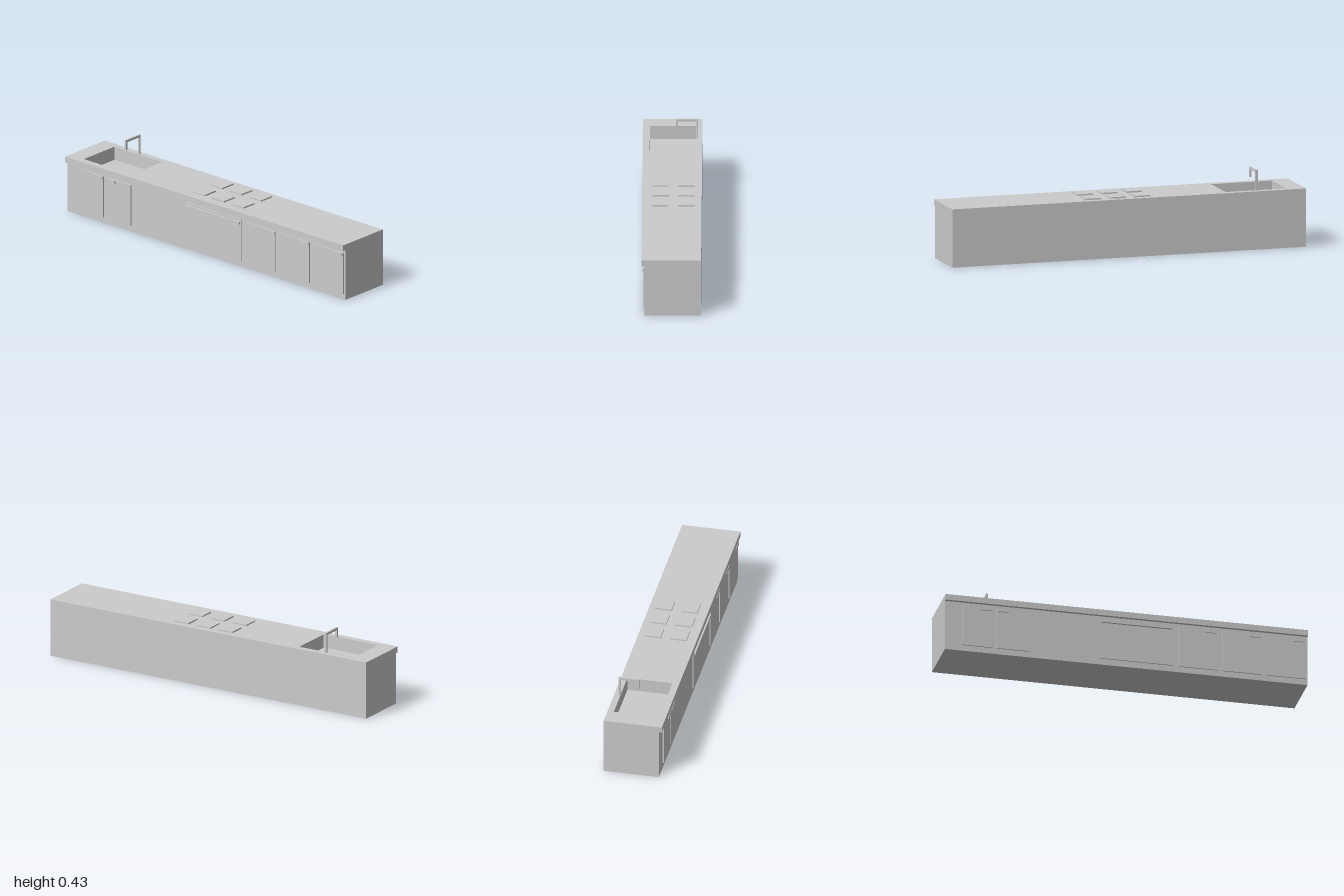
import * as THREE from 'three';

const material = new THREE.MeshStandardMaterial({ color: 0xcccccc, flatShading: true });
const doubleSided = material.clone();
doubleSided.side = THREE.DoubleSide;

// Box given by its limits on each axis
function box(name, [x0, x1], [y0, y1], [z0, z1], open = false) {
  const geometry = new THREE.BoxGeometry(x1 - x0, y1 - y0, z1 - z0);
  if (open) {
    // Leave out the top face (third group of six indices)
    const index = Array.from(geometry.index.array);
    index.splice(12, 6);
    geometry.setIndex(index);
    geometry.clearGroups();
  }
  const mesh = new THREE.Mesh(geometry, open ? doubleSided : material);
  mesh.name = name;
  mesh.position.set((x0 + x1) / 2, (y0 + y1) / 2, (z0 + z1) / 2);
  return mesh;
}

function rectangle(PathType, [x0, x1], [y0, y1]) {
  return new PathType([[x0, y0], [x1, y0], [x1, y1], [x0, y1]].map(p => new THREE.Vector2(...p)));
}

export function createModel() {
  const kitchen = new THREE.Group();
  kitchen.name = 'kitchenCounter';

  const counterBottom = 0.285, counterTop = 0.318, front = 0.143;
  const sinkX = [-0.9, -0.555], sinkZ = [-0.125, 0.122];

  // Cabinet carcass, closed off by the worktop
  kitchen.add(box('cabinet', [-1, 1], [0, counterBottom], [-0.16, front], true));

  // Worktop with the sink cut-out
  const outline = rectangle(THREE.Shape, [-1, 1], [-0.16, 0.16]);
  outline.holes.push(rectangle(THREE.Path, sinkX, sinkZ));
  const topGeometry = new THREE.ExtrudeGeometry(outline, {
    depth: counterTop - counterBottom, bevelEnabled: false,
  });
  topGeometry.rotateX(Math.PI / 2);
  const worktop = new THREE.Mesh(topGeometry, material);
  worktop.name = 'worktop';
  worktop.position.y = counterTop;
  kitchen.add(worktop);

  // Sink basin below the cut-out
  kitchen.add(box('sinkBasin', sinkX, [0.243, counterBottom], sinkZ, true));

  // Tap: post, arm and spout
  const tap = new THREE.Group();
  tap.name = 'tap';
  const tapX = [-0.734, -0.722];
  tap.add(
    box('tapPost', tapX, [counterTop, 0.417], [-0.136, -0.128]),
    box('tapArm', tapX, [0.417, 0.43], [-0.136, -0.02]),
    box('tapSpout', tapX, [0.374, 0.417], [-0.03, -0.02]),
  );
  kitchen.add(tap);

  // Hob plates, three across and two deep
  for (const x of [-0.087, 0.052, 0.192]) {
    for (const z of [0.062, -0.079]) {
      kitchen.add(box('hobPlate', [x - 0.044, x + 0.044], [counterTop, 0.326], [z - 0.045, z + 0.045]));
    }
  }

  // Cupboard doors: left edge, right edge, side of the handle
  const doors = [
    [-0.905, -0.735, 1],
    [-0.715, -0.537, -1],
    [0.29, 0.503, 1],
    [0.53, 0.747, 1],
    [0.773, 0.99, 1],
  ];
  for (const [x0, x1, side] of doors) {
    const handleX = side > 0 ? [x1 - 0.068, x1 - 0.005] : [x0 + 0.005, x0 + 0.068];
    kitchen.add(
      box('door', [x0, x1], [0.033, 0.268], [front, 0.15]),
      box('doorHandle', handleX, [0.248, 0.266], [0.15, 0.156]),
    );
  }

  // Oven door with its wide handle
  kitchen.add(
    box('ovenDoor', [-0.145, 0.255], [0.035, 0.272], [front, 0.15]),
    box('ovenHandle', [-0.14, 0.25], [0.245, 0.26], [0.15, 0.161]),
  );

  return kitchen;
}
